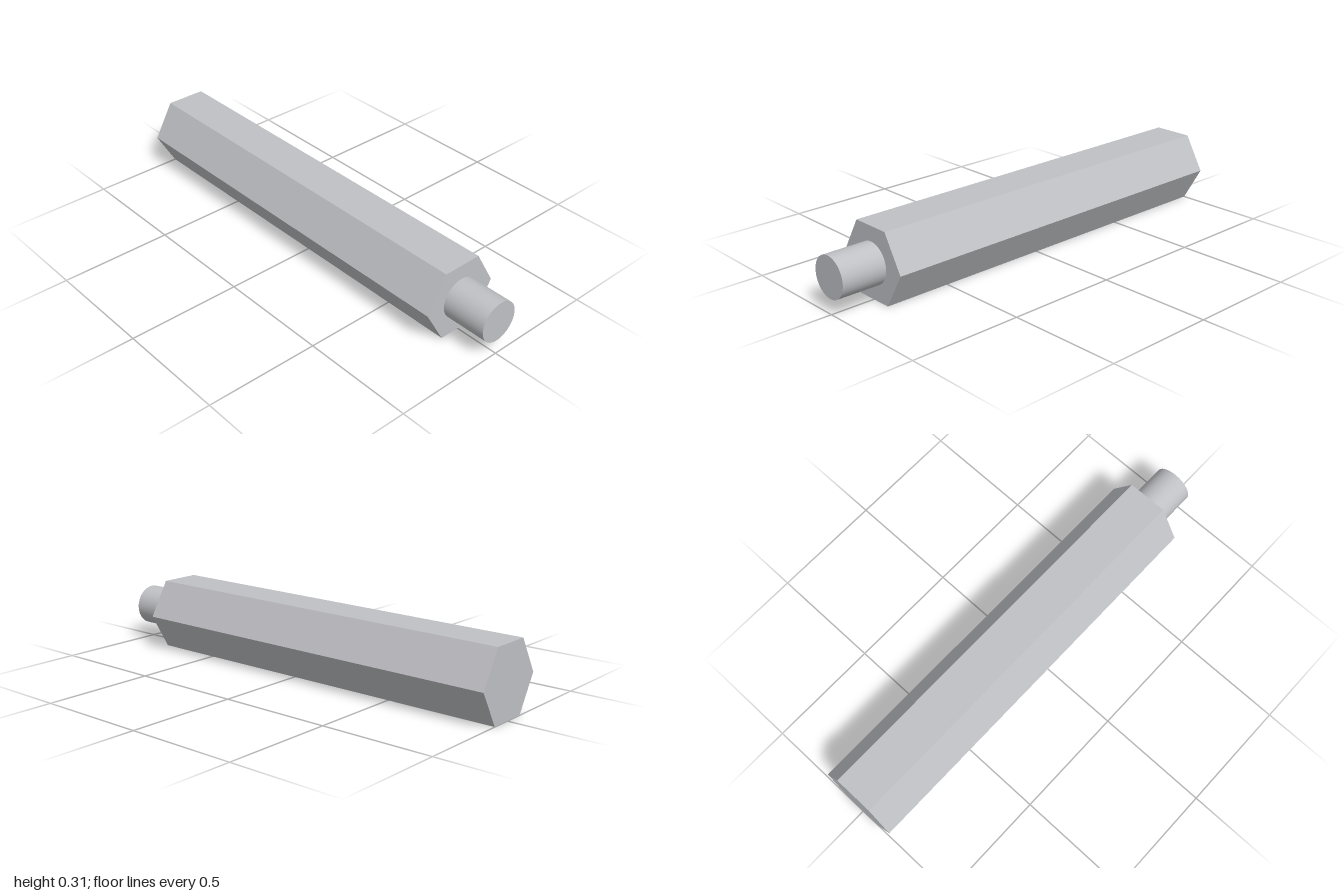
import * as THREE from 'three';

export function createModel() {
  const group = new THREE.Group();
  group.name = 'hexStandoff';
  const steel = new THREE.MeshStandardMaterial({ color: 0xc0c1c5 });
  steel.name = 'steel grey';

  const hexRadius = 0.18;
  const axisHeight = hexRadius * Math.sqrt(3) / 2; // flat side rests on the ground

  // Solid prism lying along x between two positions
  function addRod(name, radius, x0, x1, sides, flat) {
    let geometry = new THREE.CylinderGeometry(radius, radius, x1 - x0, sides);
    geometry.rotateZ(-Math.PI / 2);
    if (flat) {
      geometry = geometry.toNonIndexed();
      geometry.computeVertexNormals();
    }
    const mesh = new THREE.Mesh(geometry, steel);
    mesh.name = name;
    mesh.position.set((x0 + x1) / 2, axisHeight, 0);
    group.add(mesh);
  }

  // Faceted hexagonal body, corners pointing to front and back
  addRod('hexBody', hexRadius, -1, 0.8, 6, true);
  // Smooth round stud on the left end
  addRod('endStud', 0.09, 0.8, 1, 64, false);

  return group;
}
